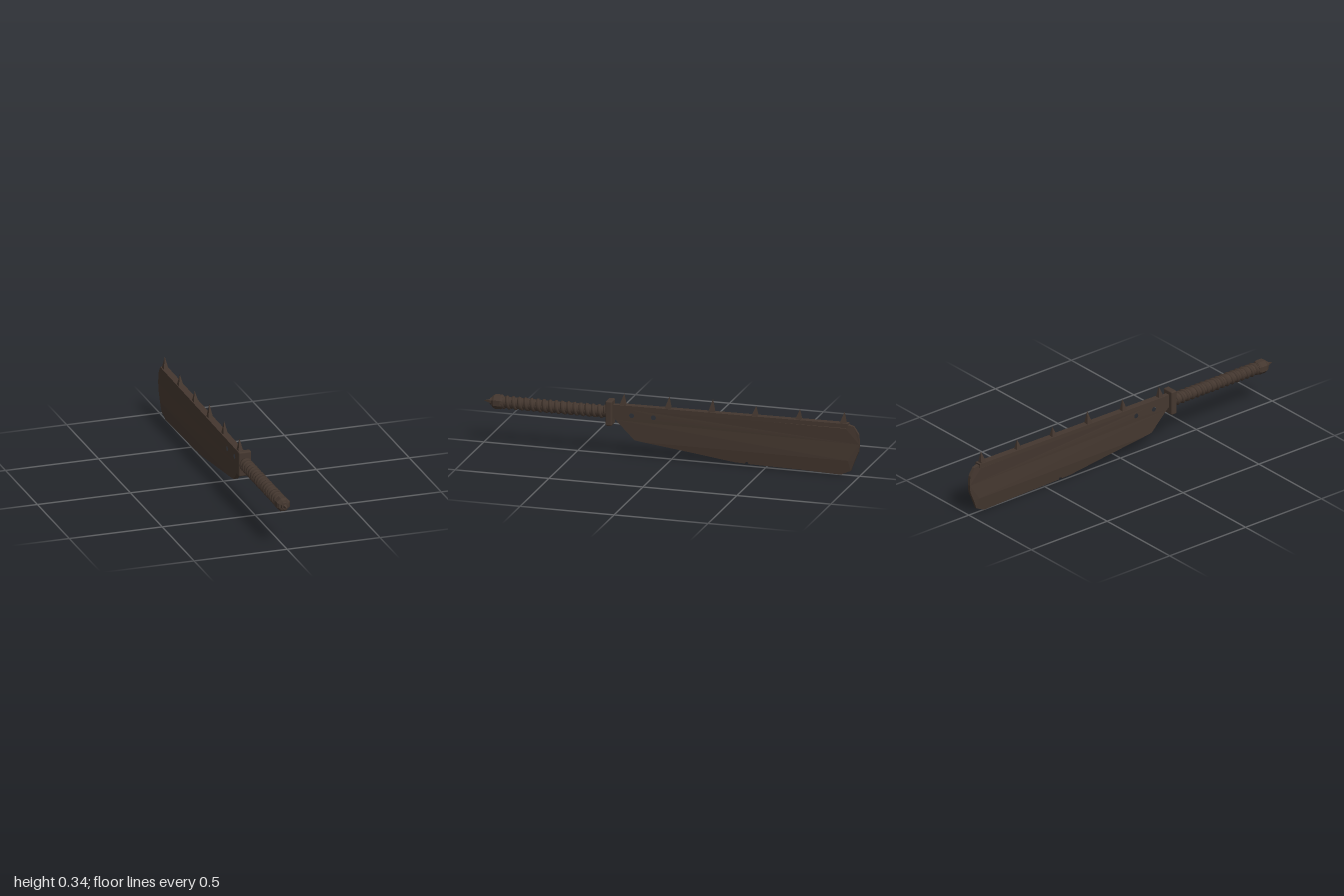
import * as THREE from 'three';
import { RoundedBoxGeometry } from 'three/addons/geometries/RoundedBoxGeometry.js';

const AXIS_Y = 0.222;

export function createModel() {
  const root = new THREE.Group();
  root.name = 'spikedCleaver';
  const darkIron = new THREE.MeshStandardMaterial({ color: 0x44372f });
  darkIron.name = 'darkIron';

  const add = (name, geometry, x = 0, y = 0, z = 0) => {
    const mesh = new THREE.Mesh(geometry, darkIron);
    mesh.name = name;
    mesh.position.set(x, y, z);
    root.add(mesh);
    return mesh;
  };

  // Blade plate: outline points are (z, y); thickness narrows to the edge and the tip
  const halfThickness = (z, y) => {
    const edge = 0.0025 + 0.01 * Math.min(1, Math.max(0, y / 0.08));
    const tip = z < -0.95 ? 0.008 : 0.0125;
    return Math.min(edge, tip);
  };
  const plate = (points, holes = []) => {
    const shape = new THREE.Shape(points.map(([z, y]) => new THREE.Vector2(z, y)));
    for (const [z, y] of holes) {
      shape.holes.push(new THREE.Path().absarc(z, y, 0.013, 0, Math.PI * 2, true));
    }
    const g = new THREE.ExtrudeGeometry(shape, { depth: 1, bevelEnabled: false, curveSegments: 8 });
    g.translate(0, 0, -0.5).rotateY(-Math.PI / 2);
    const p = g.attributes.position;
    for (let i = 0; i < p.count; i++) {
      p.setX(i, Math.sign(p.getX(i)) * halfThickness(p.getZ(i), p.getY(i)));
    }
    g.computeVertexNormals();
    return g;
  };

  add('bladeBody', plate([
    [0.312, 0.265], [0.312, 0.195], [0.295, 0.185], [0.195, 0.086], [0.155, 0.08],
    [-0.94, 0.08], [-0.975, 0.08], [-0.996, 0.13], [-1, 0.17], [-0.996, 0.222],
    [-0.97, 0.262], [-0.93, 0.272],
    [-0.93, 0.25], [0.26, 0.25], [0.26, 0.265],
  ], [[0.21, 0.215], [0.094, 0.215]]));

  // Sharpened lower edge with a small chip
  add('bladeEdge', plate([
    [0.155, 0.08], [-0.1, 0.047], [-0.335, 0.015], [-0.39, 0.013], [-0.395, 0.022],
    [-0.405, 0.022], [-0.41, 0.012], [-0.5, 0.01], [-0.7, 0.007], [-0.9, 0.0],
    [-0.955, 0.026], [-0.975, 0.08], [-0.94, 0.08], [-0.7, 0.08], [-0.4, 0.08], [-0.1, 0.08],
  ]));

  // Thick spine bar, rising slightly towards the tip
  const spineTop = (z) => 0.2675 + (0.28 - z) * 0.008;
  const spine = new THREE.BoxGeometry(0.037, 0.022, 1.22);
  const sp = spine.attributes.position;
  for (let i = 0; i < sp.count; i++) {
    const z = sp.getZ(i) - 0.33;
    sp.setXYZ(i, sp.getX(i), spineTop(z) - (sp.getY(i) < 0 ? 0.022 : 0), z);
  }
  spine.computeVertexNormals();
  add('spine', spine);

  // Four-sided spikes along the spine, leaning back
  const spikes = [[0.26, 0.327], [0.02, 0.333], [-0.212, 0.342], [-0.442, 0.326], [-0.675, 0.33], [-0.912, 0.338]];
  spikes.forEach(([z, tipY], i) => {
    const baseY = spineTop(z) - 0.006;
    const h = tipY - baseY;
    const g = new THREE.ConeGeometry(0.02, h, 4, 1).toNonIndexed();
    g.rotateY(Math.PI / 4).translate(0, h / 2, 0);
    const p = g.attributes.position;
    for (let k = 0; k < p.count; k++) {
      p.setZ(k, p.getZ(k) * 1.2 - 0.008 * p.getY(k) / h);
    }
    g.computeVertexNormals();
    add('spineSpike' + (i + 1), g, 0, baseY, z);
  });

  // Guard
  add('guard', new RoundedBoxGeometry(0.068, 0.132, 0.034, 2, 0.007), 0, 0.221, 0.327);

  // Grip core
  const core = new THREE.CylinderGeometry(0.029, 0.029, 0.6, 16);
  core.rotateX(Math.PI / 2);
  add('gripCore', core, 0, AXIS_Y, 0.62);

  // Wrapped cord
  class Helix extends THREE.Curve {
    getPoint(t, target = new THREE.Vector3()) {
      const a = t * 17 * Math.PI * 2;
      return target.set(Math.cos(a) * 0.024, Math.sin(a) * 0.024, 0.345 + t * 0.555);
    }
  }
  add('gripWrap', new THREE.TubeGeometry(new Helix(), 17 * 16, 0.012, 6), 0, AXIS_Y, 0);

  // Eight-sided pommel with stepped end
  const profile = [[0, 0.895], [0.032, 0.895], [0.038, 0.905], [0.038, 0.94], [0.03, 0.952], [0.02, 0.955], [0.018, 0.965], [0, 0.965]];
  const pommel = new THREE.LatheGeometry(profile.map(([r, z]) => new THREE.Vector2(r, z)), 8, Math.PI / 8).toNonIndexed();
  pommel.rotateX(Math.PI / 2);
  pommel.computeVertexNormals();
  add('pommel', pommel, 0, AXIS_Y, 0);

  // Pommel spike
  const point = new THREE.ConeGeometry(0.014, 0.04, 4).toNonIndexed();
  point.rotateY(Math.PI / 4).rotateX(Math.PI / 2);
  point.computeVertexNormals();
  add('pommelSpike', point, 0, AXIS_Y, 0.98);

  return root;
}
